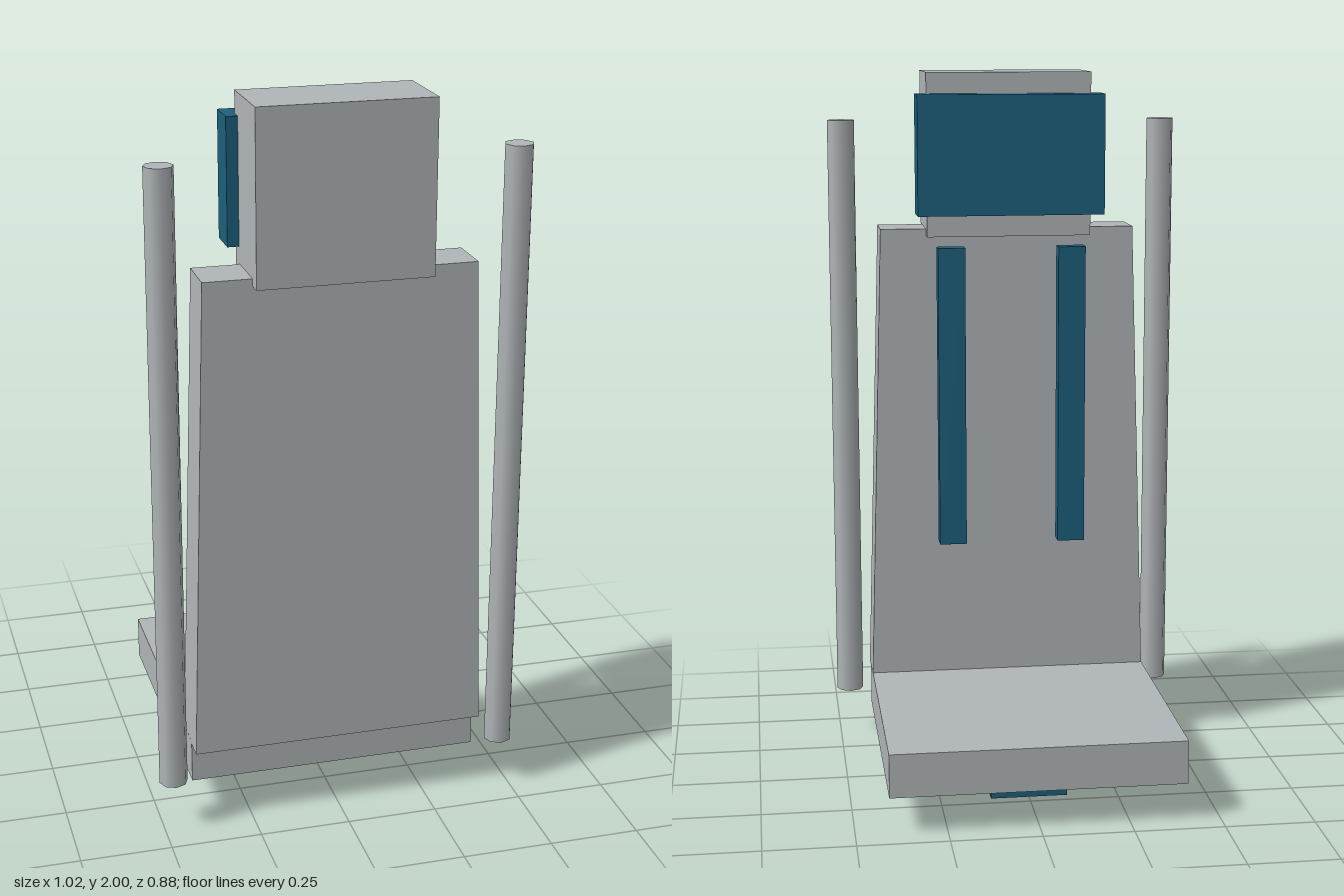
import * as THREE from 'three';

export function createModel() {
  const group = new THREE.Group();
  const grey = new THREE.MeshStandardMaterial({ color: 0xb0b5b7 });
  grey.name = 'light grey';
  const blue = new THREE.MeshStandardMaterial({ color: 0x1d5f7c });
  blue.name = 'deep blue';

  const add = (name, geometry, material) => {
    const mesh = new THREE.Mesh(geometry, material);
    mesh.name = name;
    group.add(mesh);
    return mesh;
  };

  // Box given by its lower and upper limits on each axis
  const box = (name, material, [x0, x1], [y0, y1], [z0, z1]) => {
    const geometry = new THREE.BoxGeometry(x1 - x0, y1 - y0, z1 - z0);
    geometry.translate((x0 + x1) / 2, (y0 + y1) / 2, (z0 + z1) / 2);
    return add(name, geometry, material);
  };

  // Seat slab and the block beneath it
  box('seat', grey, [-0.408, 0.408], [0.105, 0.228], [-0.44, 0.345]);
  box('seatFoot', blue, [-0.108, 0.108], [0, 0.105], [-0.217, -0.062]);

  // Backrest: a slab that narrows towards the top
  const back = new THREE.BoxGeometry(0.816, 1.335, 0.153);
  const p = back.attributes.position;
  for (let i = 0; i < p.count; i++) {
    if (p.getY(i) > 0) {
      p.setX(i, p.getX(i) * 0.9);
      p.setZ(i, p.getZ(i) * 0.89);
    }
  }
  back.translate(0, 0.8875, 0.328);
  back.computeVertexNormals();
  add('backrest', back, grey);

  // Headrest and its cushion
  box('headrest', grey, [-0.236, 0.236], [1.535, 2], [0.218, 0.436]);
  box('headCushion', blue, [-0.267, 0.267], [1.6, 1.94], [0.155, 0.252]);

  // Straps and side poles, mirrored left and right
  for (const side of [1, -1]) {
    const label = side > 0 ? 'left' : 'right';
    const x = 0.173 * side;
    box(label + 'Strap', blue, [x - 0.039, x + 0.039], [0.645, 1.51], [0.149, 0.197]);
    const pole = add(label + 'Pole', new THREE.CylinderGeometry(0.039, 0.039, 1.72, 8), grey);
    pole.position.set(0.47 * side, 1, 0.391);
  }

  return group;
}
